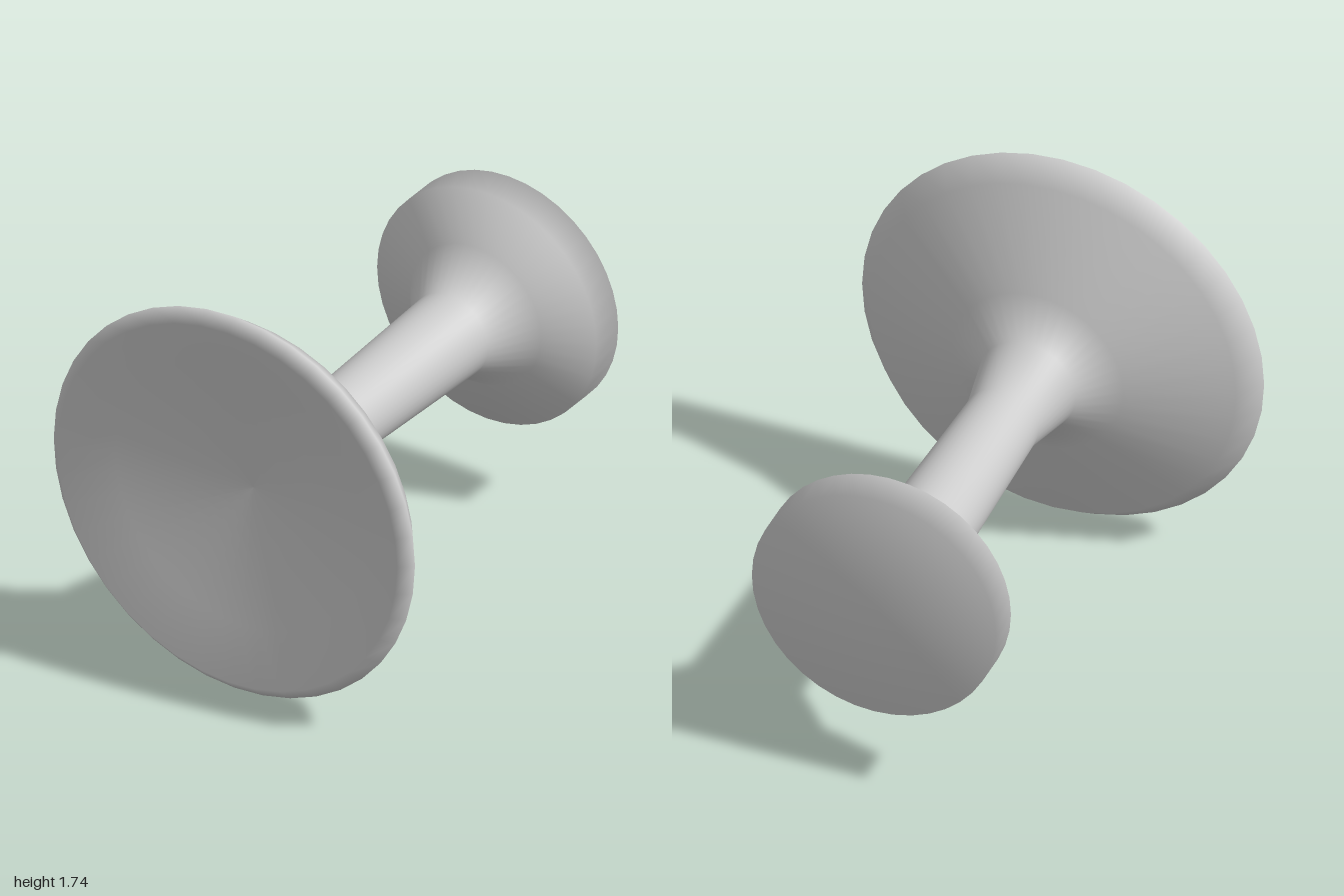
import * as THREE from 'three';

export function createModel() {
  const group = new THREE.Group();
  const grey = new THREE.MeshStandardMaterial({ color: 0xcccccc });
  grey.name = 'light grey';

  // Turned profile as [radius, z], from the back cap to the hollow of the front dish
  const profile = [
    [0, -1], [0.527, -1], [0.527, -0.845],               // back knob
    [0.315, -0.765], [0.185, -0.58],                     // back flare
    [0.157, 0.32], [0.209, 0.58],                        // stem
    [0.37, 0.685], [0.79, 0.845],                        // front flare
    [0.868, 0.95], [0.815, 1],                           // rim
    [0.6, 0.905], [0, 0.815],                            // hollow dish
  ].map(([r, z]) => new THREE.Vector2(r, z));

  const geometry = new THREE.LatheGeometry(profile, 40);
  geometry.rotateX(Math.PI / 2); // lay the turning axis along z

  const spool = new THREE.Mesh(geometry, grey);
  spool.name = 'flaredSpool';
  spool.position.y = 0.868;
  group.add(spool);
  return group;
}
